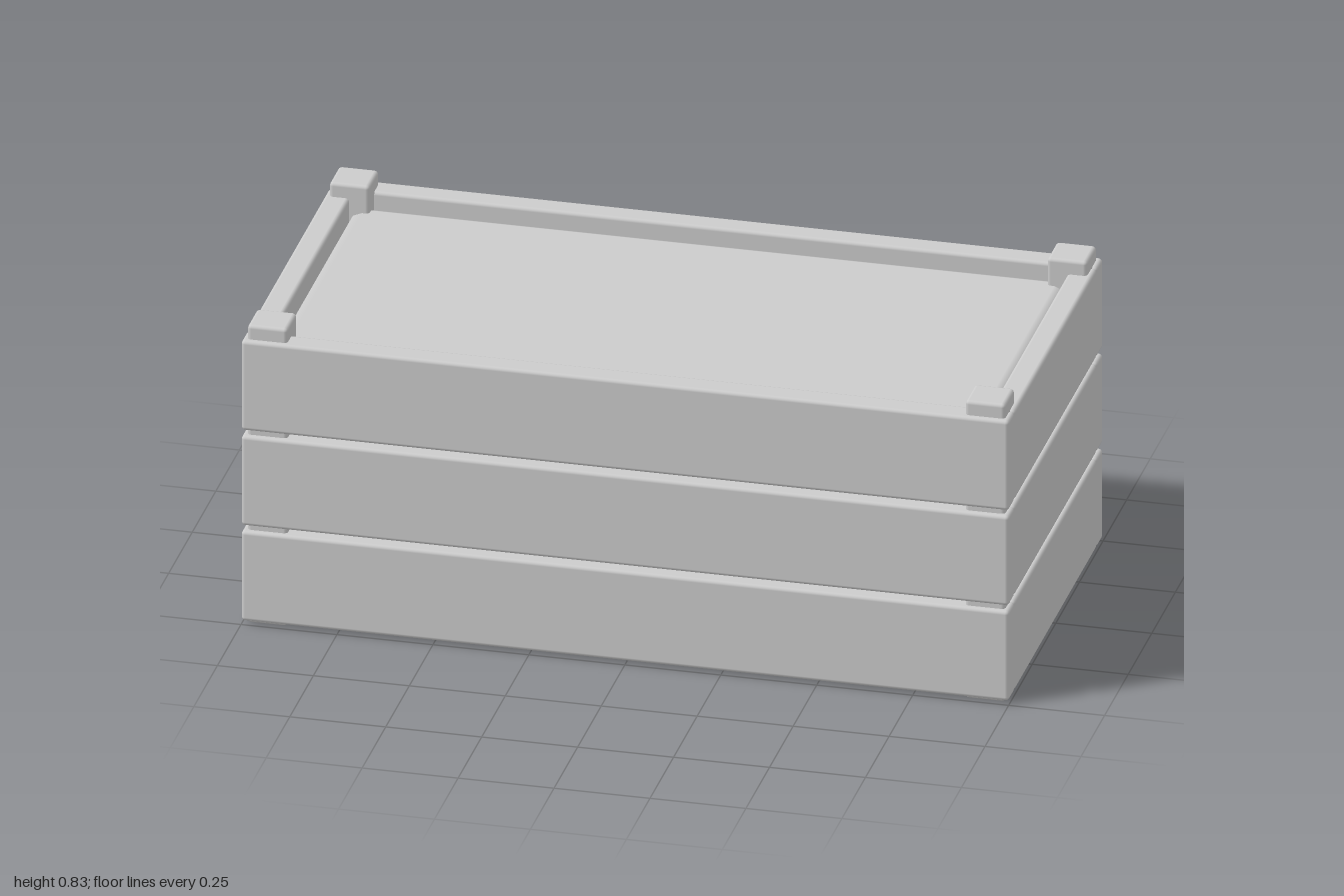
import * as THREE from 'three';
import { RoundedBoxGeometry } from 'three/addons/geometries/RoundedBoxGeometry.js';

const material = new THREE.MeshStandardMaterial({ color: 0xcccccc });

// Box with softened edges, standing on height y
function board(name, [w, h, d], [x, y, z], bevel = 0.01, segments = 2) {
  const mesh = new THREE.Mesh(new RoundedBoxGeometry(w, h, d, segments, bevel), material);
  mesh.name = name;
  mesh.position.set(x, y + h / 2, z);
  return mesh;
}

export function createModel() {
  const crate = new THREE.Group();
  crate.name = 'planterCrate';

  const thick = 0.065;
  const slatHeight = 0.251;
  const pitch = 0.2665;

  // Three rows of slats around the four sides
  for (let row = 0; row < 3; row++) {
    const y = 0.01 + row * pitch;
    for (const s of [1, -1]) {
      const long = s > 0 ? 'frontSlat' : 'backSlat';
      const short = s > 0 ? 'leftSlat' : 'rightSlat';
      crate.add(board(long + row, [2, slatHeight, thick], [0, y, s * (0.5 - thick / 2)]));
      crate.add(board(short + row, [thick, slatHeight, 1 - 2 * thick], [s * (1 - thick / 2), y, 0]));
    }
  }

  // Corner posts, rising just above the slats
  for (const sx of [1, -1]) {
    for (const sz of [1, -1]) {
      crate.add(board('cornerPost', [0.104, 0.833, 0.104], [sx * 0.935, 0, sz * 0.434]));
    }
  }

  // Floor and the raised filling, both with wide bevelled rims
  crate.add(board('floorPanel', [1.87, 0.07, 0.87], [0, 0.002, 0], 0.033, 1));
  crate.add(board('fillingPanel', [1.87, 0.19, 0.87], [0, 0.567, 0], 0.033, 1));

  return crate;
}
